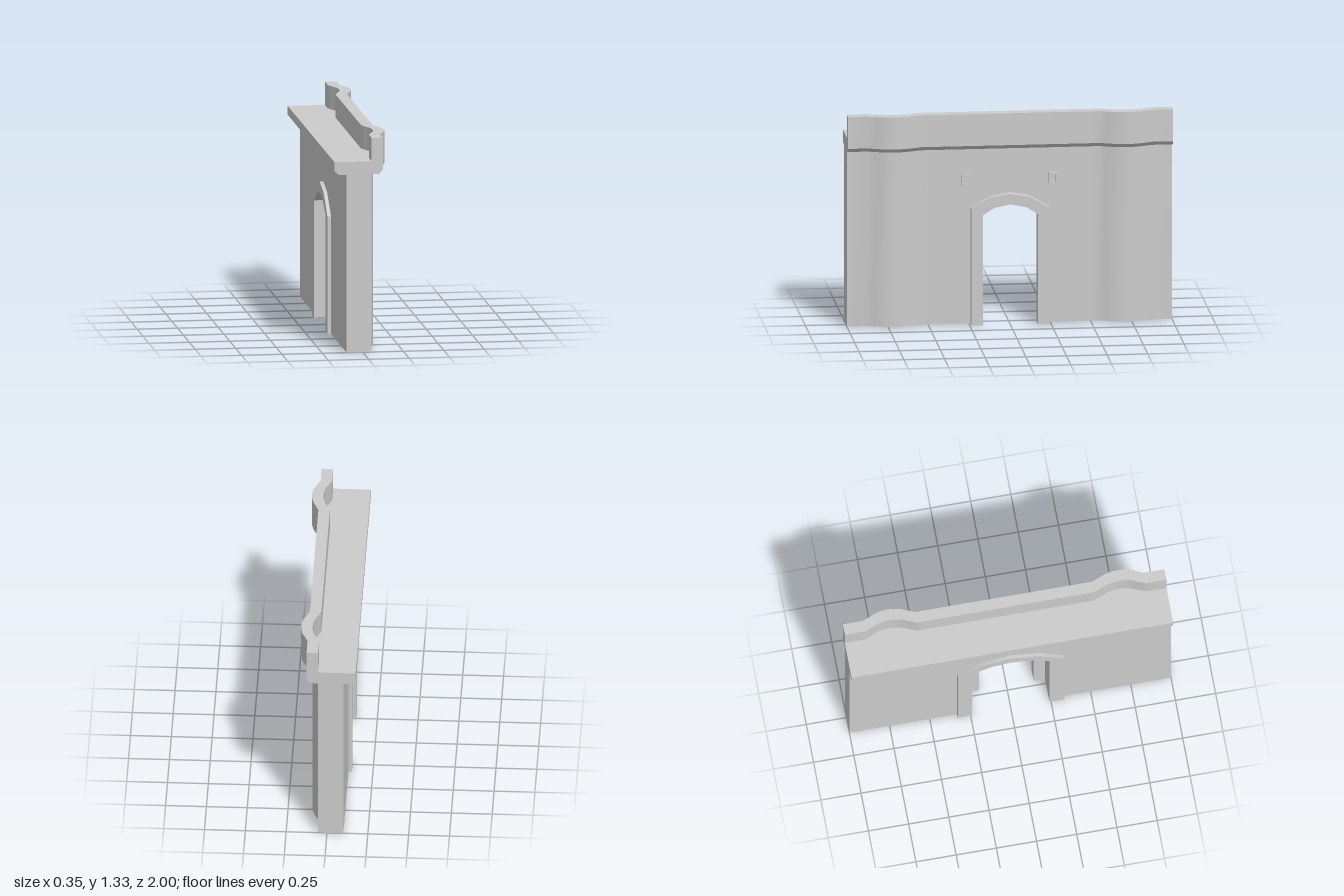
import * as THREE from 'three';
import { toCreasedNormals } from 'three/addons/utils/BufferGeometryUtils.js';

const V = (x, y, z) => new THREE.Vector3(x, y, z);
const V2 = (x, y) => new THREE.Vector2(x, y);

// Plan of one bulge: [distance along the wall, outward offset]
const BULGE = [[0.55, 0], [0.595, 0.018], [0.64, 0.036], [0.68, 0.044], [0.715, 0.046],
  [0.75, 0.044], [0.79, 0.036], [0.83, 0.018], [0.875, 0]];
const HALF = [[0.5, 0], ...BULGE, [1, 0]];
const MIRROR = HALF.map(([z, b]) => [-z, b]).reverse();

// Cross-section of cornice and parapet: [x, y, follows the bulge]
const CORNICE = [[0.055, 1.105, 1], [0.1, 1.105, 1], [0.125, 1.13, 1], [0.125, 1.33, 1],
  [0.055, 1.33, 1], [0.055, 1.185, 1], [-0.175, 1.185, 0], [-0.175, 1.13, 0],
  [-0.15, 1.105, 0], [-0.1, 1.105, 0]];

// Door outline from the +z foot over the arch to the -z foot, as (z, y)
function arch(side) {
  const half = [[side[0][0], 0], ...side];
  const other = half.slice(0, -1).map(([z, y]) => [-z, y]).reverse();
  return [...half, ...other].map(([z, y]) => V2(z, y));
}
const INNER = arch([[0.17, 0.69], [0.1, 0.735], [0, 0.755]]);
const MIDDLE = arch([[0.24, 0.73], [0.12, 0.8], [0, 0.82]]);
const REAR = arch([[0.33, 0.73], [0.17, 0.85], [0, 0.89]]);

export function createModel() {
  const group = new THREE.Group();
  const material = new THREE.MeshStandardMaterial({ color: 0xcccccc, side: THREE.DoubleSide });

  function add(name, geometry) {
    const mesh = new THREE.Mesh(geometry, material);
    mesh.name = name;
    group.add(mesh);
    return mesh;
  }

  // Surface between two matching rows of points
  function ribbon(name, a, b) {
    const index = [];
    const n = a.length;
    for (let i = 0; i < n - 1; i++) index.push(i, n + i, i + 1, n + i, n + i + 1, i + 1);
    const geometry = new THREE.BufferGeometry().setFromPoints([...a, ...b]);
    geometry.setIndex(index);
    geometry.computeVertexNormals();
    add(name, toCreasedNormals(geometry, 0.75));
  }

  // Sweep a cross-section along the wall
  function sweep(name, profile, plan) {
    const row = ([x, y, w]) => plan.map(([z, b]) => V(x + w * b, y, z));
    for (let i = 0; i < profile.length - 1; i++) ribbon(name, row(profile[i]), row(profile[i + 1]));
  }

  // Band following a door outline between two depths
  function archBand(name, outline, x0, x1) {
    ribbon(name, outline.map(p => V(x0, p.y, p.x)), outline.map(p => V(x1, p.y, p.x)));
  }

  // Flat upright sheet facing +x or -x
  function sheet(name, points, x, facing) {
    const geometry = new THREE.ShapeGeometry(new THREE.Shape(points));
    geometry.rotateY(facing * Math.PI / 2);
    geometry.translate(x, 0, 0);
    add(name, geometry);
  }

  // Wall faces; the foot is left open
  const around = (half, top, outline) =>
    [V2(half, 0), V2(half, top), V2(-half, top), V2(-half, 0), ...outline.slice().reverse()];
  const between = (outer, inner) => [...outer, ...inner.slice().reverse()];
  sheet('wallFrontCentre', around(0.5, 1.105, MIDDLE), 0.055, 1);
  sheet('wallBack', around(1, 1.105, MIDDLE), -0.1, -1);
  for (const plan of [HALF, MIRROR]) {
    sweep('wallFrontBulge', [[0.055, 0, 1], [0.055, 1.105, 1]], plan);
  }

  // Cornice and parapet
  sweep('cornice', CORNICE, [...MIRROR, ...HALF]);

  // Flat ends
  for (const z of [1, -1]) {
    const points = [V2(0.055, 0), ...CORNICE.map(([x, y]) => V2(x, y)), V2(-0.1, 0)];
    const geometry = new THREE.ShapeGeometry(new THREE.Shape(points));
    if (z < 0) {
      geometry.index.array.reverse();
      geometry.computeVertexNormals();
    }
    geometry.translate(0, 0, z);
    add('wallEnd', geometry);
  }

  // Front door frame, set into the passage
  sheet('frontFrameFace', between(MIDDLE, INNER), 0.113, 1);
  sheet('frontFrameBack', between(MIDDLE, INNER), 0.03, -1);
  archBand('frontFrameSide', MIDDLE, 0.055, 0.113);
  archBand('frontFrameReveal', INNER, 0.113, 0.03);

  // Passage and rear door frame
  archBand('passage', MIDDLE, 0.03, -0.122);
  sheet('rearFrameFace', between(REAR, MIDDLE), -0.122, -1);
  archBand('rearFrameSide', REAR, -0.122, -0.1);

  // Small square-holed plaques above the door
  const rect = (w, h) => [V2(-w, -h), V2(w, -h), V2(w, h), V2(-w, h)];
  for (const side of [1, -1]) {
    const shape = new THREE.Shape(rect(0.028, 0.036));
    shape.holes.push(new THREE.Path(rect(0.014, 0.022)));
    const geometry = new THREE.ExtrudeGeometry(shape, { depth: 0.02, bevelEnabled: false });
    geometry.rotateY(Math.PI / 2);
    add('plaque', geometry).position.set(0.055, 0.905, side * 0.27);
  }

  return group;
}
